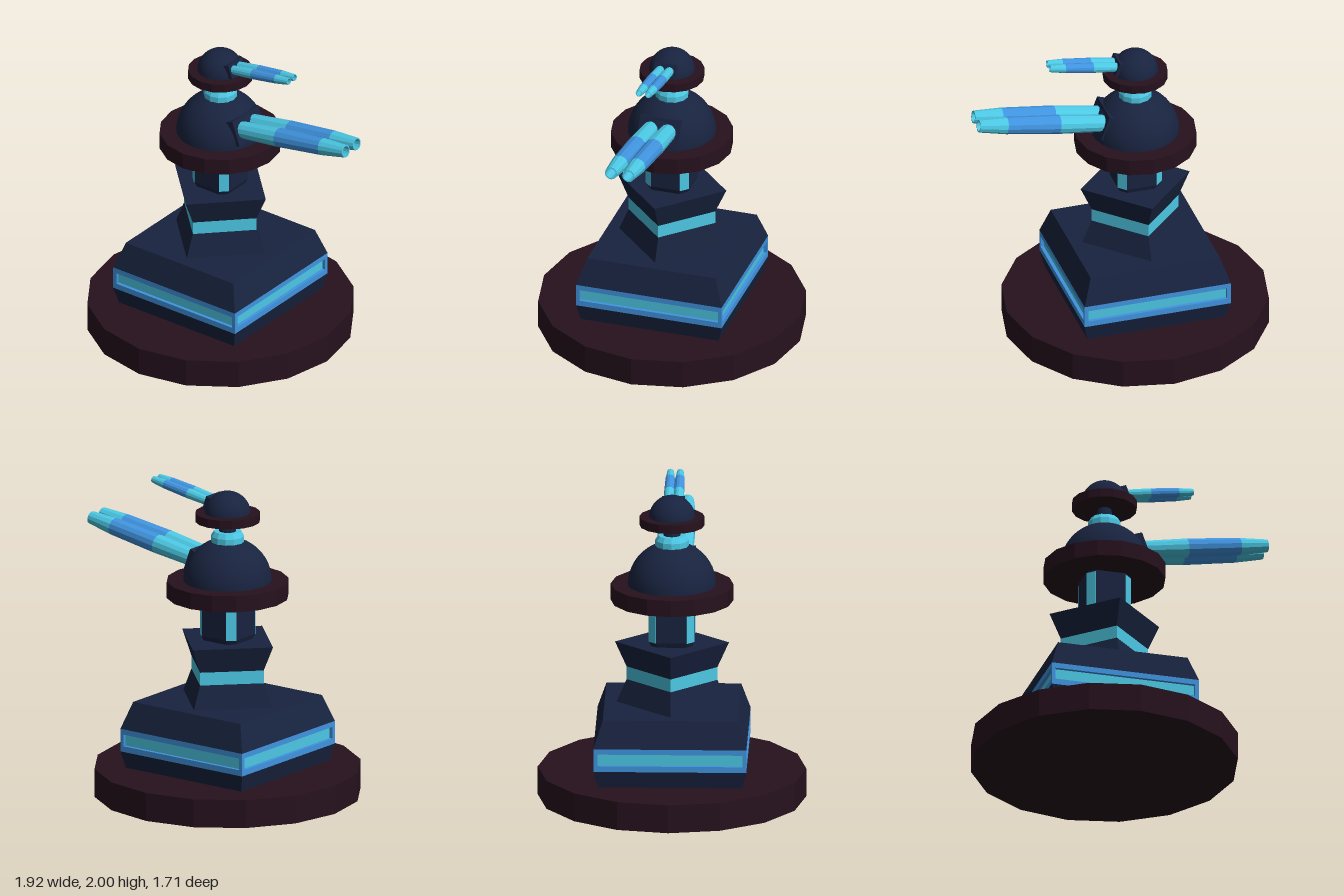
import * as THREE from 'three';

const flat = (color) => new THREE.MeshStandardMaterial({ color, flatShading: true, side: THREE.DoubleSide });
const NAVY = flat(0x18233f), MAROON = flat(0x26111d), TEAL = flat(0x4cc8e4), BLUE = flat(0x4094e0);
const DOME = new THREE.MeshStandardMaterial({ color: 0x18233f });

function add(parent, name, geometry, material, x = 0, y = 0, z = 0) {
  const mesh = new THREE.Mesh(geometry, material);
  mesh.name = name;
  mesh.position.set(x, y, z);
  parent.add(mesh);
  return mesh;
}

// Tapered prism from y0 to y1
function prism(parent, name, material, sides, y0, r0, y1, r1) {
  return add(parent, name, new THREE.CylinderGeometry(r1, r0, y1 - y0, sides), material, 0, (y0 + y1) / 2, 0);
}

// Tapered block with sides square to the axes, sized by half widths
function block(parent, name, material, y0, h0, y1, h1) {
  prism(parent, name, material, 4, y0, h0 * Math.SQRT2, y1, h1 * Math.SQRT2).rotation.y = Math.PI / 4;
}

function rect(Type, w, y0, y1) {
  return new Type([[-w, y0], [w, y0], [w, y1], [-w, y1]].map(([x, y]) => new THREE.Vector2(x, y)));
}

// Half dome
function dome(parent, name, r, y) {
  add(parent, name, new THREE.SphereGeometry(r, 32, 12, 0, Math.PI * 2, 0, Math.PI / 2), DOME, 0, y, 0);
}

// Pair of hollow barrels with their mantlet, at full size
function gunPair(name) {
  const pair = new THREE.Group();
  pair.name = name;
  const sections = [
    ['barrelRear', TEAL, [[0, -0.06], [0.053, -0.06], [0.062, 0.325]]],
    ['barrelSleeve', BLUE, [[0.062, 0.325], [0.056, 0.68]]],
    ['barrelMuzzle', TEAL, [[0.056, 0.68], [0.041, 0.865], [0.033, 0.865], [0.033, 0.6], [0, 0.6]]],
  ];
  for (const z of [-0.058, 0.058]) {
    const barrel = new THREE.Group();
    barrel.name = 'barrel';
    barrel.position.z = z;
    barrel.rotation.z = THREE.MathUtils.degToRad(9);
    for (const [part, material, points] of sections) {
      const profile = points.map(([r, l]) => new THREE.Vector2(r, l));
      add(barrel, part, new THREE.LatheGeometry(profile, 12).rotateZ(-Math.PI / 2), material);
    }
    pair.add(barrel);
  }
  const mantlet = add(pair, 'mantlet', new THREE.BoxGeometry(0.1, 0.17, 0.27), NAVY, -0.015, -0.01, 0);
  mantlet.rotation.z = THREE.MathUtils.degToRad(20);
  return pair;
}

export function createModel() {
  const model = new THREE.Group();
  model.name = 'gunTower';
  const tower = new THREE.Group();
  tower.name = 'tower';
  tower.position.x = -0.105;
  model.add(tower);

  // Round foundation and square lower storey
  prism(tower, 'foundation', MAROON, 16, 0, 0.857, 0.185, 0.857);
  block(tower, 'lowerSkirt', NAVY, 0.185, 0.462, 0.295, 0.488);
  block(tower, 'lightCore', TEAL, 0.295, 0.466, 0.445, 0.466);
  block(tower, 'lowerRoof', NAVY, 0.445, 0.488, 0.62, 0.43);

  // Window frames around the light band
  const frame = rect(THREE.Shape, 0.488, 0.295, 0.445);
  frame.holes.push(rect(THREE.Path, 0.463, 0.333, 0.41));
  const frameGeometry = new THREE.ExtrudeGeometry(frame, { depth: 0.022, bevelEnabled: false });
  frameGeometry.translate(0, 0, 0.466);
  for (let i = 0; i < 4; i++) add(tower, 'lightFrame', frameGeometry, BLUE).rotation.y = i * Math.PI / 2;

  // Waisted middle storey, turned corner-on
  prism(tower, 'waistLower', NAVY, 4, 0.62, 0.354, 0.77, 0.29);
  prism(tower, 'waistBand', TEAL, 4, 0.77, 0.29, 0.855, 0.29);
  prism(tower, 'waistUpper', NAVY, 4, 0.855, 0.29, 1.02, 0.364);

  // Chamfered neck with light strips on its corners
  const a = 0.098, b = 0.145;
  const outline = [[b, -a], [b, a], [a, b], [-a, b], [-b, a], [-b, -a], [-a, -b], [a, -b]];
  const neck = new THREE.ExtrudeGeometry(
    new THREE.Shape(outline.map(([x, y]) => new THREE.Vector2(x, y))),
    { depth: 0.28, steps: 9, bevelEnabled: false });
  neck.rotateX(-Math.PI / 2);
  const p = neck.attributes.position;
  for (let i = 0; i < p.count; i++) {
    if (p.getY(i) < 0.01) p.setXYZ(i, p.getX(i) * 0.92, p.getY(i), p.getZ(i) * 0.92);
  }
  add(tower, 'neck', neck, NAVY, 0, 1.02, 0);
  const strip = new THREE.BoxGeometry((b - a) * Math.SQRT2, 0.24, 0.01);
  strip.translate(0, 1.17, (a + b) / Math.SQRT2 - 0.002);
  for (let i = 0; i < 4; i++) add(tower, 'neckLight', strip, TEAL).rotation.y = Math.PI / 4 + i * Math.PI / 2;

  // Main turret
  prism(tower, 'mainDeck', MAROON, 16, 1.3, 0.392, 1.407, 0.392);
  dome(tower, 'mainDome', 0.283, 1.4);
  prism(tower, 'collar', TEAL, 12, 1.64, 0.107, 1.7, 0.107);
  prism(tower, 'collarTop', TEAL, 12, 1.7, 0.107, 1.732, 0.088);

  // Upper turret
  prism(tower, 'upperNeck', NAVY, 12, 1.73, 0.056, 1.8, 0.045);
  prism(tower, 'upperDeck', MAROON, 16, 1.798, 0.208, 1.855, 0.208);
  dome(tower, 'upperDome', 0.148, 1.845);

  // Guns, the upper pair a smaller copy
  const mainGuns = gunPair('mainGuns');
  mainGuns.position.set(0.1, 1.515, 0.012);
  const upperGuns = gunPair('upperGuns');
  upperGuns.scale.setScalar(0.535);
  upperGuns.position.set(0.015, 1.908, 0.006);
  model.add(mainGuns, upperGuns);

  return model;
}
